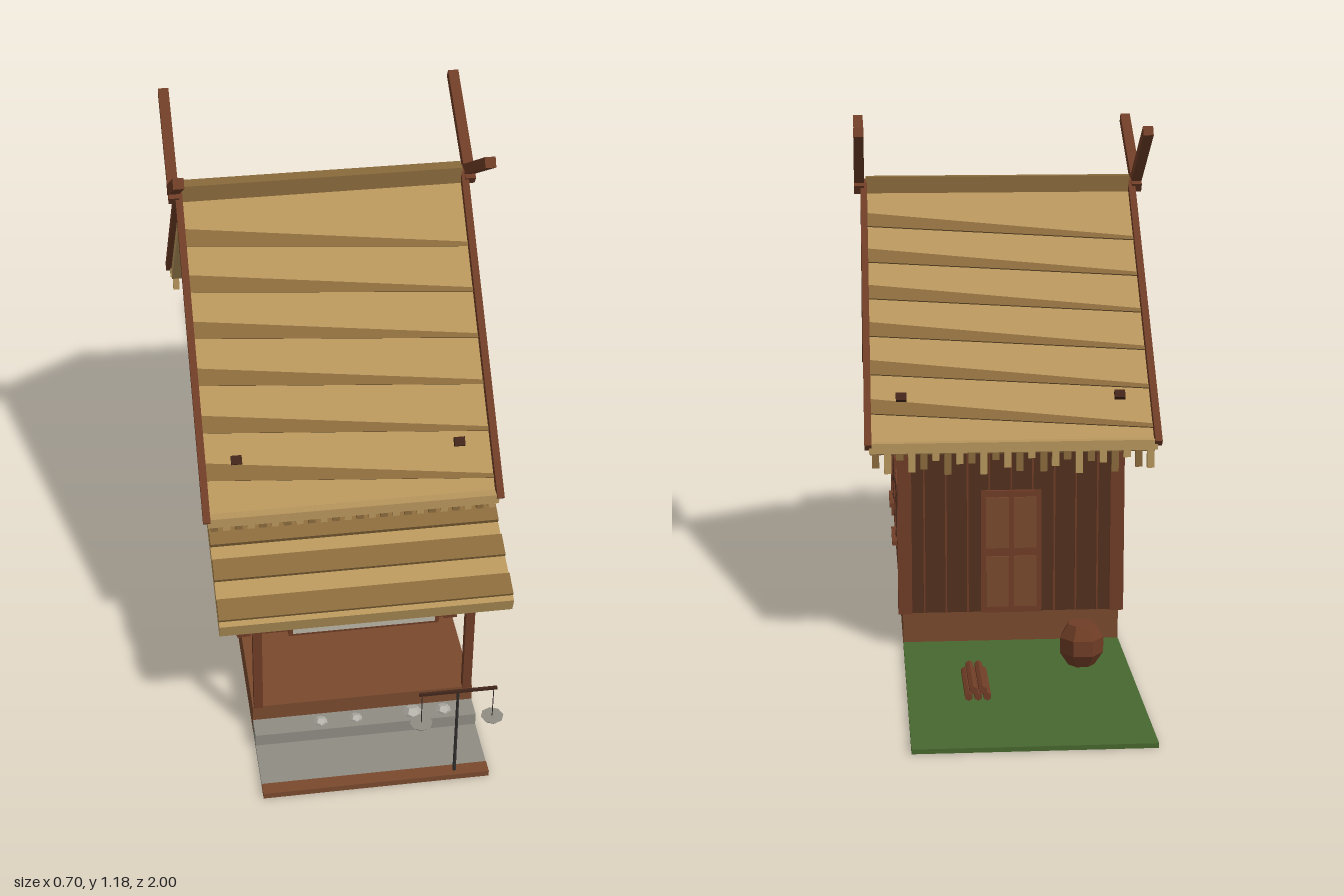
import * as THREE from 'three';

const mats = {};
const mat = (color) => (mats[color] ??= new THREE.MeshStandardMaterial({ color, flatShading: true, side: THREE.DoubleSide }));
const STRAW = 0xb8965c, STRAW_DARK = 0x8a6a3c, WALL = 0x52301f, WOOD = 0x6f3d26, BASE = 0x7a4a2e;
const DARK = 0x42251a, STONE = 0x8f8c84, GRASS = 0x48682f, IRON = 0x33302e;

function add(parent, name, geo, color, x = 0, y = 0, z = 0) {
  const m = new THREE.Mesh(geo, mat(color));
  m.name = name;
  m.position.set(x, y, z);
  parent.add(m);
  return m;
}

// box given by its limits on each axis
function box(parent, name, color, [x0, x1], [y0, y1], [z0, z1]) {
  return add(parent, name, new THREE.BoxGeometry(x1 - x0, y1 - y0, z1 - z0), color,
    (x0 + x1) / 2, (y0 + y1) / 2, (z0 + z1) / 2);
}

// square beam between two points
function beam(parent, name, color, a, b, w, d = w) {
  const A = new THREE.Vector3(...a), B = new THREE.Vector3(...b);
  const dir = B.clone().sub(A);
  const m = add(parent, name, new THREE.BoxGeometry(w, dir.length(), d), color);
  m.position.copy(A).add(B).multiplyScalar(0.5);
  m.quaternion.setFromUnitVectors(new THREE.Vector3(0, 1, 0), dir.normalize());
  return m;
}

// [z, y] outline extruded across the width, centred on x = 0
function acrossX(parent, name, color, outline, halfWidth) {
  const shape = new THREE.Shape(outline.map(([z, y]) => new THREE.Vector2(-z, y)));
  const geo = new THREE.ExtrudeGeometry(shape, { depth: halfWidth * 2, bevelEnabled: false });
  geo.translate(0, 0, -halfWidth).rotateY(Math.PI / 2);
  return add(parent, name, geo, color);
}

// framed window with shutters and sill, on the wall at x = side * 0.25
function sideWindow(parent, side, z) {
  const g = new THREE.Group();
  g.name = 'sideWindow';
  g.position.set(side * 0.25, 0.26, z);
  parent.add(g);
  box(g, 'windowGlass', 0x3a3d40, [-0.004, 0.004], [-0.07, 0.068], [-0.058, 0.058]);
  for (const c of [-0.06, 0, 0.06]) box(g, 'windowBar', DARK, [-0.008, 0.008], [-0.07, 0.07], [c - 0.004, c + 0.004]);
  box(g, 'windowHead', WOOD, [-0.009, 0.009], [0.064, 0.072], [-0.064, 0.064]);
  box(g, 'windowSill', WOOD, [-0.02, 0.02], [-0.08, -0.07], [-0.068, 0.068]);
  for (const s of [-1, 1]) {
    const c = s * 0.093;
    box(g, 'shutter', WOOD, [-0.009, 0.009], [-0.062, 0.062], [c - 0.03, c + 0.03]);
    for (const y of [-0.042, 0.042]) box(g, 'shutterBatten', DARK, [-0.012, 0.012], [y - 0.003, y + 0.003], [c - 0.02, c + 0.02]);
  }
}

// thatch detail on one roof slope; local y runs up the slope, z points outward
function slopeDetail(house, back) {
  const turn = new THREE.Group();
  turn.name = back ? 'backThatch' : 'frontThatch';
  turn.rotation.y = back ? Math.PI : 0;
  const slope = new THREE.Group();
  slope.position.y = 1.025;
  slope.rotation.x = -Math.atan2(0.52, 0.535);
  turn.add(slope);
  house.add(turn);
  for (let i = 0; i < 6; i++) {
    const s = new THREE.Shape([[-0.32, -0.125], [0.32, -0.172], [0.32, -0.162], [-0.32, -0.086]].map((p) => new THREE.Vector2(...p)));
    add(slope, 'thatchBand', new THREE.ExtrudeGeometry(s, { depth: 0.004, bevelEnabled: false }), STRAW_DARK, 0, -i * 0.106, 0);
  }
  for (const x of [-0.25, 0.25]) box(slope, 'roofPeg', DARK, [x - 0.012, x + 0.012], [-0.625, -0.605], [0, 0.012]);
  // straw fringe under the eave
  for (let i = 0; i < 24; i++) {
    const x = -0.31 + i * 0.027;
    const drop = back ? 0.04 + 0.018 * Math.sin(i * 2.3) : 0.022;
    box(turn, 'eaveFringe', i % 2 ? STRAW : STRAW_DARK, [x - 0.008, x + 0.008], [0.485 - drop, 0.488], [0.508, 0.52]);
  }
  box(turn, 'eaveRoll', STRAW, [-0.325, 0.325], [0.48, 0.503], [0.5, 0.528]);
}

export function createModel() {
  const model = new THREE.Group();
  model.name = 'thatchedHouse';

  // ground, plinth and entrance step
  box(model, 'lawn', GRASS, [-0.25, 0.25], [0, 0.01], [-1, -0.33]);
  box(model, 'plinth', BASE, [-0.25, 0.25], [0, 0.08], [-0.33, 0.79]);
  box(model, 'stoneStep', STONE, [-0.25, 0.25], [0, 0.04], [0.79, 0.84]);
  box(model, 'pavement', STONE, [-0.25, 0.25], [0, 0.01], [0.84, 0.96]);
  box(model, 'pavementEdge', BASE, [-0.25, 0.25], [0, 0.014], [0.96, 0.99]);
  for (const [x, r] of [[-0.1, 0.016], [-0.02, 0.015], [0.11, 0.022], [0.18, 0.018]]) {
    add(model, 'stone', new THREE.DodecahedronGeometry(r), 0xb5b2aa, x, 0.04, 0.815).scale.y = 0.6;
  }

  // house body, with its origin under the ridge
  const house = new THREE.Group();
  house.name = 'house';
  house.position.z = 0.11;
  model.add(house);
  acrossX(house, 'walls', WALL, [[-0.44, 0.08], [0.44, 0.08], [0.44, 0.54], [0, 0.99], [-0.44, 0.54]], 0.25);
  box(house, 'frontWallPanel', WOOD, [-0.225, 0.225], [0.08, 0.46], [0.44, 0.444]);
  for (const x of [-0.245, 0.245]) for (const z of [-0.437, 0.437]) {
    box(house, 'cornerPost', WOOD, [x - 0.016, x + 0.016], [0.08, 0.53], [z - 0.012, z + 0.012]);
  }
  // plank battens on side and back walls
  for (let i = 0; i < 15; i++) {
    const z = -0.392 + i * 0.056;
    for (const x of [-0.25, 0.25]) box(house, 'wallBatten', WOOD, [x - 0.003, x + 0.003], [0.08, 0.575], [z - 0.002, z + 0.002]);
  }
  for (let i = 0; i < 9; i++) {
    const x = -0.2 + i * 0.05;
    box(house, 'backBatten', WOOD, [x - 0.002, x + 0.002], [0.08, 0.53], [-0.443, -0.439]);
  }
  for (const side of [-1, 1]) for (const z of [0.205, -0.15]) sideWindow(house, side, z);

  // back door with four panels
  box(house, 'backDoor', WOOD, [-0.07, 0.07], [0.08, 0.37], [-0.448, -0.44]);
  for (const x of [-0.032, 0.032]) for (const y of [0.155, 0.295]) {
    box(house, 'doorPanel', BASE, [x - 0.026, x + 0.026], [y - 0.06, y + 0.06], [-0.452, -0.446]);
  }

  // main roof
  acrossX(house, 'thatchRoof', STRAW, [[0.52, 0.49], [0, 1.025], [-0.52, 0.49], [-0.505, 0.472], [0, 0.985], [0.505, 0.472]], 0.322);
  slopeDetail(house, false);
  slopeDetail(house, true);
  box(house, 'ridgeCap', STRAW_DARK, [-0.322, 0.322], [1.005, 1.048], [-0.016, 0.016]);
  for (const x of [-0.327, 0.327]) for (const s of [-1, 1]) {
    beam(house, 'bargeBoard', WOOD, [x, 0.495, s * 0.53], [x, 1.035, s * 0.002], 0.016, 0.02);
    beam(house, 'crossedFinial', WOOD, [x * 1.035, 1.018, s * -0.025], [x * 1.035, 1.172, s * 0.215], 0.024);
  }

  // porch roof, posts and sign
  const porch = new THREE.Group();
  porch.name = 'porch';
  model.add(porch);
  acrossX(porch, 'porchRoof', STRAW, [[0.54, 0.48], [0.835, 0.367], [0.825, 0.333], [0.54, 0.445]], 0.322);
  for (const [z, y] of [[0.8, 0.378], [0.71, 0.414], [0.63, 0.447]]) {
    const strip = box(porch, 'porchThatchBand', STRAW_DARK, [-0.322, 0.322], [y - 0.004, y + 0.012], [z - 0.025, z + 0.025]);
    strip.rotation.x = 0.42;
  }
  for (const x of [-0.237, 0.237]) {
    box(porch, 'porchPost', WOOD, [x - 0.01, x + 0.01], [0.08, 0.36], [0.775, 0.795]);
  }
  box(porch, 'porchBeam', WOOD, [-0.25, 0.25], [0.345, 0.36], [0.777, 0.793]);
  box(porch, 'signFrame', WOOD, [-0.167, 0.167], [0.28, 0.352], [0.777, 0.787]);
  box(porch, 'signBoard', 0xb9b5a6, [-0.158, 0.158], [0.288, 0.345], [0.785, 0.79]);

  // balance scale beside the path
  const scale = new THREE.Group();
  scale.name = 'balanceScale';
  scale.position.set(0.175, 0, 0.975);
  model.add(scale);
  add(scale, 'scalePole', new THREE.CylinderGeometry(0.003, 0.004, 0.24, 6), IRON, 0, 0.13, 0);
  box(scale, 'scaleBar', DARK, [-0.085, 0.085], [0.247, 0.253], [-0.003, 0.003]);
  for (const x of [-0.078, 0.078]) {
    add(scale, 'scaleCord', new THREE.CylinderGeometry(0.001, 0.001, 0.085, 4), IRON, x, 0.208, 0);
    add(scale, 'scalePan', new THREE.CylinderGeometry(0.025, 0.02, 0.006, 8), STONE, x, 0.165, 0);
  }

  // barrel and stacked logs on the lawn
  const barrel = [[0, 0], [0.03, 0], [0.05, 0.03], [0.05, 0.065], [0.032, 0.095], [0, 0.095]].map((p) => new THREE.Vector2(...p));
  add(model, 'barrel', new THREE.LatheGeometry(barrel, 7), WOOD, -0.145, 0.01, -0.505);
  for (const [x, y] of [[0.08, 0.019], [0.1, 0.019], [0.12, 0.019], [0.09, 0.033], [0.11, 0.033]]) {
    const log = add(model, 'log', new THREE.CylinderGeometry(0.009, 0.009, 0.17, 6), WOOD, x, y, -0.645);
    log.rotation.x = Math.PI / 2;
  }
  return model;
}
